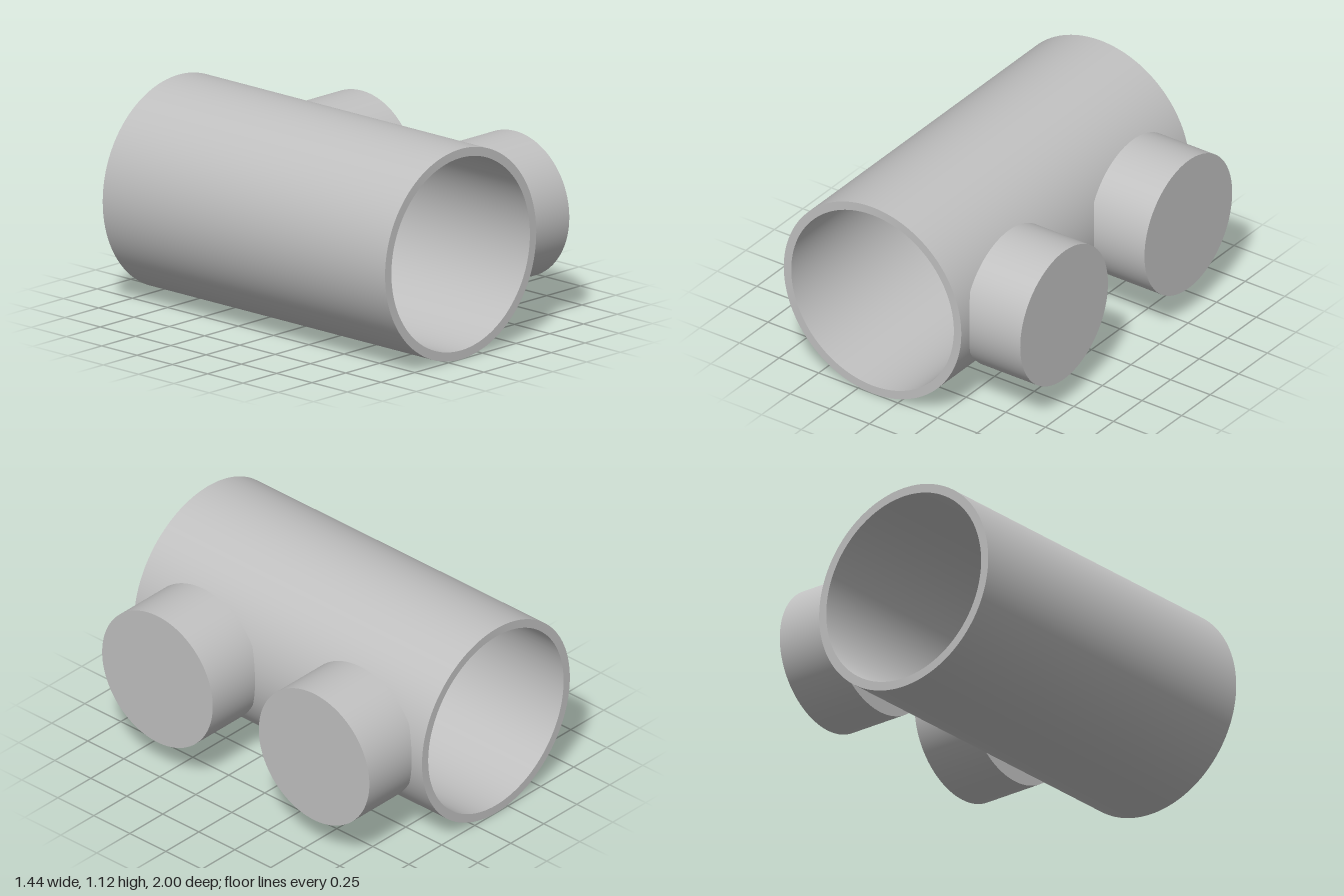
import * as THREE from 'three';
import { mergeGeometries } from 'three/addons/utils/BufferGeometryUtils.js';

const SEGMENTS = 128;
const AXIS_X = -0.16, AXIS_Y = 0.562;

// Revolve each profile edge separately so the rims stay crisp.
function hollowPipe(outer, inner, length) {
  const h = length / 2;
  const profile = [[outer, -h], [outer, h], [inner, h], [inner, -h]];
  const sections = profile.map((p, i) => {
    const q = profile[(i + 1) % profile.length];
    return new THREE.LatheGeometry([new THREE.Vector2(...p), new THREE.Vector2(...q)], SEGMENTS);
  });
  return mergeGeometries(sections).rotateX(Math.PI / 2);
}

export function createModel() {
  const model = new THREE.Group();
  model.name = 'pipeWithSideBosses';

  const grey = new THREE.MeshStandardMaterial({ color: 0xc0c0c0 });
  grey.name = 'light grey';

  // Main open pipe along z
  const pipe = new THREE.Mesh(hollowPipe(0.56, 0.513, 2), grey);
  pipe.name = 'mainPipe';
  pipe.position.set(AXIS_X, AXIS_Y, 0);
  model.add(pipe);

  // Two solid round bosses, seated in the pipe wall
  const bossStart = 0.37, bossEnd = 0.72;
  const bossGeometry = new THREE.CylinderGeometry(0.384, 0.384, bossEnd - bossStart, SEGMENTS).rotateZ(-Math.PI / 2);
  for (const [name, side] of [['frontBoss', 1], ['rearBoss', -1]]) {
    const boss = new THREE.Mesh(bossGeometry, grey);
    boss.name = name;
    boss.position.set((bossStart + bossEnd) / 2, AXIS_Y, side * 0.544);
    model.add(boss);
  }

  return model;
}
